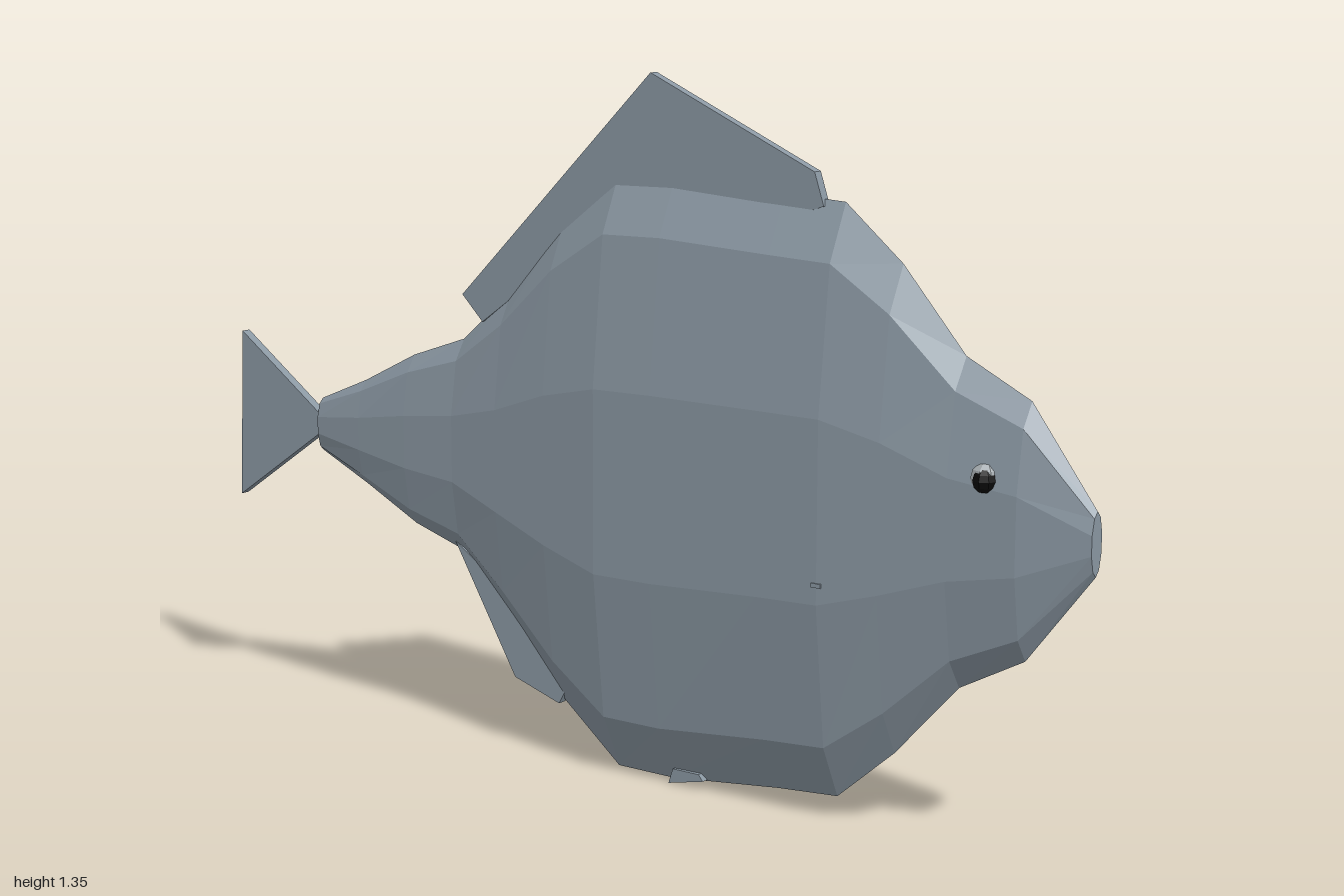
import * as THREE from 'three';

const MID = 0.025; // z of the body's middle plane

function mat(name, color, extra = {}) {
  const m = new THREE.MeshStandardMaterial({ color, flatShading: true, ...extra });
  m.name = name;
  return m;
}

// Ten-sided loft through stations of [x, top, bottom, half depth]
function loft(stations, sides = 10) {
  const pos = [], idx = [];
  for (const [x, top, bottom, depth] of stations) {
    for (let j = 0; j < sides; j++) {
      const a = (j / sides) * Math.PI * 2;
      pos.push(x, (top + bottom) / 2 + Math.cos(a) * (top - bottom) / 2,
        MID + Math.sin(a) * depth);
    }
  }
  const last = (stations.length - 1) * sides;
  for (let j = 0; j < sides; j++) {
    const k = (j + 1) % sides;
    for (let r = 0; r < last; r += sides) {
      idx.push(r + j, r + k, r + sides + j, r + k, r + sides + k, r + sides + j);
    }
    // end caps
    if (j > 0 && j < sides - 1) idx.push(0, k, j, last, last + j, last + k);
  }
  const g = new THREE.BufferGeometry();
  g.setAttribute('position', new THREE.Float32BufferAttribute(pos, 3));
  g.setIndex(idx);
  g.computeVertexNormals();
  return g;
}

// Flat fin cut from an outline in the xy plane
function slab(points, thickness) {
  const shape = new THREE.Shape(points.map(([x, y]) => new THREE.Vector2(x, y)));
  const g = new THREE.ExtrudeGeometry(shape, { depth: thickness, bevelEnabled: false });
  return g.translate(0, 0, MID - thickness / 2);
}

export function createModel() {
  const group = new THREE.Group();
  const skin = mat('blue grey skin', 0x8b98a3);
  const black = mat('black pupil', 0x0c0c0c);
  const pale = mat('pale eye', 0xa9b0b4);

  const add = (name, geometry, material) => {
    const mesh = new THREE.Mesh(geometry, material);
    mesh.name = name;
    group.add(mesh);
    return mesh;
  };

  // Body, from tail root to snout
  add('body', loft([
    [-0.77, 0.65, 0.54, 0.019],
    [-0.65, 0.70, 0.485, 0.029],
    [-0.52, 0.765, 0.42, 0.038],
    [-0.39, 0.81, 0.38, 0.045],
    [-0.27, 0.915, 0.26, 0.058],
    [-0.14, 1.06, 0.115, 0.073],
    [-0.01, 1.16, 0.008, 0.086],
    [0.12, 1.163, 0.008, 0.086],
    [0.36, 1.147, 0.035, 0.086],
    [0.49, 1.14, 0.045, 0.086],
    [0.61, 1.04, 0.15, 0.075],
    [0.74, 0.89, 0.295, 0.063],
    [0.87, 0.825, 0.365, 0.05],
    [1.0, 0.65, 0.535, 0.019],
  ]), skin);

  // Fins along the middle plane
  add('dorsalFin', slab([[-0.385, 0.9], [-0.335, 0.85], [-0.1, 1.02], [0.3, 1.08],
    [0.45, 1.13], [0.43, 1.19], [0.07, 1.35]], 0.02), skin);
  add('tailFin', slab([[-0.76, 0.61], [-0.985, 0.77], [-1, 0.42], [-0.76, 0.585]], 0.02), skin);
  add('analFin', slab([[-0.41, 0.4], [-0.26, 0.145], [-0.15, 0.11], [-0.1, 0.2]], 0.02), skin);
  add('pelvicFin', slab([[0.12, 0.002], [0.2, 0.02], [0.19, 0.032], [0.13, 0.032]], 0.034), skin);

  // Side fin: a thin wedge, pointed towards the head
  const wedge = new THREE.BufferGeometry();
  wedge.setAttribute('position', new THREE.Float32BufferAttribute([
    0.505, 0.46, -0.055,
    0.385, 0.465, -0.11,
    0.355, 0.535, -0.075,
    0.355, 0.455, -0.055,
  ], 3));
  wedge.setIndex([0, 1, 2, 0, 3, 1, 0, 2, 3, 1, 3, 2]);
  wedge.computeVertexNormals();
  add('sideFin', wedge, mat('blue grey fin', 0x8b98a3, { side: THREE.DoubleSide }));
  add('sideFinRoot', new THREE.BoxGeometry(0.02, 0.008, 0.01).translate(0.49, 0.46, 0.104), skin);

  // Eyes on both sides
  for (const s of [-1, 1]) {
    const ball = add('eyeball', new THREE.SphereGeometry(0.029, 8, 6), pale);
    ball.position.set(0.805, 0.69, MID + s * 0.036);
    const pupil = add('pupil', new THREE.SphereGeometry(0.023, 8, 6), black);
    pupil.position.set(0.808, 0.687, MID + s * 0.046);
  }
  return group;
}
